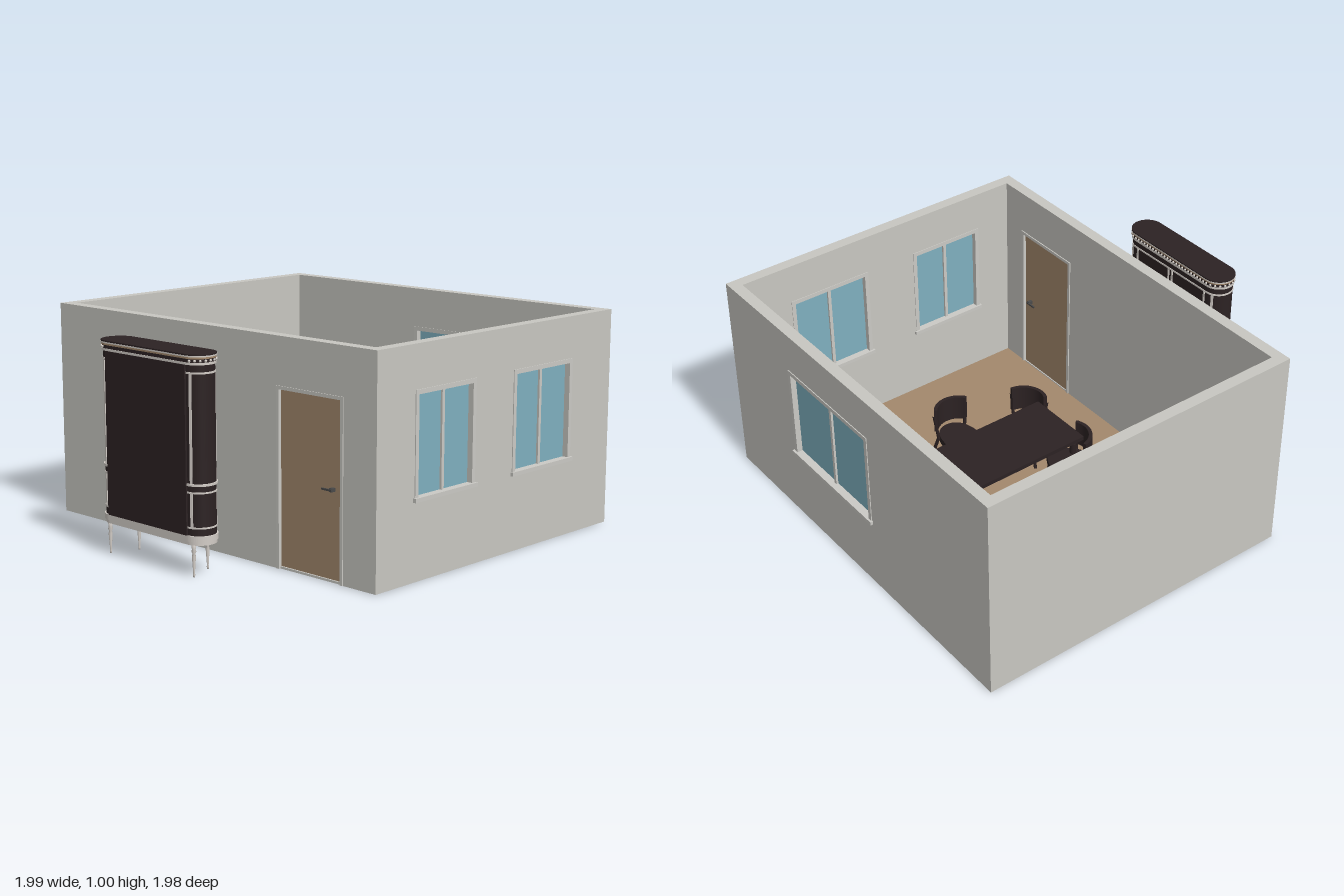
import * as THREE from 'three';

const mat = (name, color, side = THREE.FrontSide) => {
  const m = new THREE.MeshStandardMaterial({ color, side });
  m.name = name;
  return m;
};
const M = {
  wall: mat('wall plaster', 0xc8c7c1),
  trim: mat('window and door trim', 0xcbcac5),
  wood: mat('light wood', 0xa3886c, THREE.DoubleSide),
  glass: mat('window glass', 0x7fb0bf),
  dark: mat('dark wood', 0x2c2223),
  silver: mat('silver trim', 0xd3cdc7),
  metal: mat('handle metal', 0x4a4a4a),
};
const T = 0.055; // wall thickness

function add(parent, name, geometry, material, x = 0, y = 0, z = 0) {
  const m = new THREE.Mesh(geometry, material);
  m.name = name;
  m.position.set(x, y, z);
  parent.add(m);
  return m;
}
// box given by its limits
function box(parent, name, material, x0, x1, y0, y1, z0, z1) {
  return add(parent, name, new THREE.BoxGeometry(x1 - x0, y1 - y0, z1 - z0), material,
    (x0 + x1) / 2, (y0 + y1) / 2, (z0 + z1) / 2);
}
// plan outline (x, z) raised between two heights
function slab(parent, name, material, shape, y0, y1) {
  const g = new THREE.ExtrudeGeometry(shape, { depth: y1 - y0, bevelEnabled: false, curveSegments: 16 });
  g.rotateX(Math.PI / 2);
  return add(parent, name, g, material, 0, y1, 0);
}
function group(parent, name, x = 0, y = 0, z = 0, ry = 0) {
  const g = new THREE.Group();
  g.name = name;
  g.position.set(x, y, z);
  g.rotation.y = ry;
  parent.add(g);
  return g;
}

// framed window with two panes; the wall's outer face is at z = 0
function addWindow(wall, u0, u1) {
  const w = group(wall, 'window');
  const y0 = 0.35, y1 = 0.81, f = 0.02, zi = -T - 0.003, zo = 0.004, mid = (u0 + u1) / 2;
  box(w, 'glass', M.glass, u0 + f, u1 - f, y0 + 0.01, y1 - f, -0.033, -0.023);
  box(w, 'leftJamb', M.trim, u0, u0 + f, y0, y1, zi, zo);
  box(w, 'rightJamb', M.trim, u1 - f, u1, y0, y1, zi, zo);
  box(w, 'head', M.trim, u0 + f, u1 - f, y1 - f, y1, zi, zo);
  box(w, 'mullion', M.trim, mid - 0.008, mid + 0.008, y0, y1 - f, -0.043, -0.013);
  box(w, 'sill', M.trim, u0 - 0.008, u1 + 0.008, y0 - 0.008, y0 + 0.01, -T - 0.012, 0.014);
}
// wall with window holes and an optional doorway
function addWall(parent, name, x, z, ry, a, b, windows = [], door = null) {
  const g = group(parent, name, x, 0, z, ry);
  const s = new THREE.Shape();
  s.moveTo(a, 0);
  if (door) {
    s.lineTo(door[0], 0); s.lineTo(door[0], 0.79);
    s.lineTo(door[1], 0.79); s.lineTo(door[1], 0);
  }
  s.lineTo(b, 0); s.lineTo(b, 1); s.lineTo(a, 1); s.closePath();
  for (const [u0, u1] of windows) {
    const h = new THREE.Path();
    h.moveTo(u0, 0.35); h.lineTo(u0, 0.81); h.lineTo(u1, 0.81); h.lineTo(u1, 0.35); h.closePath();
    s.holes.push(h);
    addWindow(g, u0, u1);
  }
  add(g, 'wallPanel', new THREE.ExtrudeGeometry(s, { depth: T, bevelEnabled: false }), M.wall, 0, 0, -T);
  return g;
}

function addDoor(wall, u0, u1) {
  const d = group(wall, 'door');
  const f = 0.015, top = 0.79;
  box(d, 'doorPanel', M.wood, u0 + f, u1 - f, 0.01, top - f, -0.045, -0.012);
  box(d, 'threshold', M.trim, u0 + f, u1 - f, 0, 0.01, -0.05, -0.005);
  box(d, 'leftJamb', M.trim, u0, u0 + f, 0, top, -T - 0.005, 0.004);
  box(d, 'rightJamb', M.trim, u1 - f, u1, 0, top, -T - 0.005, 0.004);
  box(d, 'head', M.trim, u0 + f, u1 - f, top - f, top, -T - 0.005, 0.004);
  for (const [z0, z1] of [[-0.012, 0.01], [-0.067, -0.045]]) {
    const zc = z0 === -0.012 ? z1 : z0;
    box(d, 'handleStem', M.metal, 0.73, 0.745, 0.387, 0.403, z0, z1);
    box(d, 'handleLever', M.metal, 0.69, 0.745, 0.391, 0.399, zc - 0.004, zc + 0.004);
  }
}

function addTable(parent) {
  const t = group(parent, 'table');
  box(t, 'tableTop', M.dark, -0.175, 0.17, 0.265, 0.285, -0.585, 0.18);
  box(t, 'apron', M.dark, -0.145, 0.14, 0.235, 0.265, -0.555, 0.15);
  for (const x of [-0.14, 0.135]) for (const z of [-0.55, 0.145])
    add(t, 'tableLeg', new THREE.CylinderGeometry(0.016, 0.01, 0.24, 12), M.dark, x, 0.12, z);
}

// chair with its back towards +z
function addChair(parent, x, z, ox, oz) {
  const c = group(parent, 'chair', x, 0, z, Math.atan2(ox, oz));
  const seat = new THREE.Shape();
  seat.moveTo(-0.065, -0.095);
  seat.quadraticCurveTo(0, -0.105, 0.065, -0.095);
  seat.quadraticCurveTo(0.092, -0.09, 0.09, -0.05);
  seat.quadraticCurveTo(0.09, 0.09, 0, 0.095);
  seat.quadraticCurveTo(-0.09, 0.09, -0.09, -0.05);
  seat.quadraticCurveTo(-0.092, -0.09, -0.065, -0.095);
  slab(c, 'seat', M.dark, seat, 0.15, 0.185);
  // curved backrest
  const back = new THREE.Shape();
  back.absarc(0, -0.01, 0.115, 0.6, Math.PI - 0.6, false);
  back.absarc(0, -0.01, 0.098, Math.PI - 0.6, 0.6, true);
  slab(c, 'backrest', M.dark, back, 0.21, 0.335);
  // splayed legs, the rear ones carrying the back
  for (const s of [-1, 1]) {
    for (const [name, a, b] of [
      ['frontLeg', [0.096, 0, -0.092], [0.07, 0.16, -0.07]],
      ['rearLeg', [0.1, 0, 0.1], [0.075, 0.17, 0.05]],
      ['backPost', [0.075, 0.16, 0.05], [0.092, 0.3, 0.06]],
    ]) {
      const p = new THREE.Vector3(a[0] * s, a[1], a[2]), q = new THREE.Vector3(b[0] * s, b[1], b[2]);
      add(c, name, new THREE.TubeGeometry(new THREE.LineCurve3(p, q), 1, 0.008, 8), M.dark);
    }
  }
}

// rounded-end plan of the cabinet
function stadium(r, half = 0.249) {
  const s = new THREE.Shape();
  s.absarc(half, 0, r, -Math.PI / 2, Math.PI / 2, false);
  s.absarc(-half, 0, r, Math.PI / 2, Math.PI * 1.5, false);
  s.closePath();
  return s;
}
function addCabinet(parent) {
  const c = group(parent, 'cabinet', -0.003, 0, 0.905);
  slab(c, 'body', M.dark, stadium(0.07), 0.17, 0.91);
  box(c, 'backPanel', M.dark, -0.25, 0.25, 0.18, 0.9, 0, 0.079);
  // mouldings: lower height, upper height, radius
  for (const [a, b, r] of [[0.14, 0.155, 0.072], [0.155, 0.18, 0.077], [0.21, 0.217, 0.073],
    [0.36, 0.367, 0.073], [0.392, 0.402, 0.076], [0.862, 0.87, 0.073], [0.9, 0.91, 0.076]])
    slab(c, 'moulding', M.silver, stadium(r), a, b);
  slab(c, 'frieze', M.dark, stadium(0.074), 0.91, 0.925);
  slab(c, 'cornice', M.wood, stadium(0.0765), 0.925, 0.933);
  slab(c, 'crownRim', M.silver, stadium(0.079), 0.933, 0.939);
  slab(c, 'top', M.dark, stadium(0.078), 0.939, 0.945);
  // beading along the door side and round the ends
  const bead = new THREE.SphereGeometry(0.006, 8, 6);
  for (let i = 0; i <= 24; i++) add(c, 'bead', bead, M.silver, -0.249 + i * 0.02075, 0.917, -0.075);
  for (const s of [-1, 1]) {
    for (let i = 1; i < 10; i++) {
      const a = -Math.PI / 2 + i * Math.PI / 10;
      add(c, 'bead', bead, M.silver, s * (0.249 + 0.075 * Math.cos(a)), 0.917, 0.075 * Math.sin(a));
    }
    // upright strips framing the curved end panels
    for (const a of [-1.1, 1.25]) for (const [y0, y1] of [[0.402, 0.865], [0.217, 0.36]]) {
      const m = add(c, 'panelStrip', new THREE.BoxGeometry(0.006, y1 - y0, 0.012), M.silver,
        s * (0.249 + 0.07 * Math.cos(a)), (y0 + y1) / 2, 0.07 * Math.sin(a));
      m.rotation.y = -s * a;
    }
    // door frames
    for (const x of [0.012, 0.235])
      box(c, 'doorStile', M.silver, s * x - 0.004, s * x + 0.004, 0.4, 0.865, -0.075, -0.068);
    // turned legs
    const profile = [[0, 0], [0.004, 0], [0.005, 0.01], [0.004, 0.02], [0.009, 0.09],
      [0.006, 0.1], [0.011, 0.11], [0.008, 0.12], [0.012, 0.145], [0, 0.145]];
    const leg = new THREE.LatheGeometry(profile.map(p => new THREE.Vector2(...p)), 12);
    add(c, 'frontLeg', leg, M.silver, s * 0.22, 0, -0.068);
    add(c, 'rearLeg', leg, M.silver, s * 0.268, 0, 0.055);
  }
}

export function createModel() {
  const root = new THREE.Group();
  root.name = 'diningRoom';
  const room = group(root, 'room');
  box(room, 'floor', M.wood, -0.945, 0.925, 0.001, 0.01, -0.925, 0.57);
  const front = addWall(room, 'frontWall', 0, 0.625, 0, -1, 0.98, [], [0.42, 0.8]);
  addDoor(front, 0.42, 0.8);
  addWall(room, 'backWall', 0, -0.98, Math.PI, -0.98, 1, [[-0.475, 0.147]]);
  addWall(room, 'leftWall', 0.98, 0, Math.PI / 2, -0.57, 0.925, [[-0.39, 0], [0.26, 0.685]]);
  addWall(room, 'rightWall', -1, 0, -Math.PI / 2, -0.925, 0.57);
  addTable(root);
  // position and outward direction of each chair
  for (const p of [[-0.335, -0.2, -1, 0], [0.305, -0.2, 1, 0], [-0.24, -0.53, -0.49, -0.87],
    [0.165, -0.55, 0.38, -0.92], [-0.17, 0.1, -0.44, 0.9], [0.175, 0.1, 0.5, 0.86]])
    addChair(root, ...p);
  addCabinet(root);
  return root;
}
